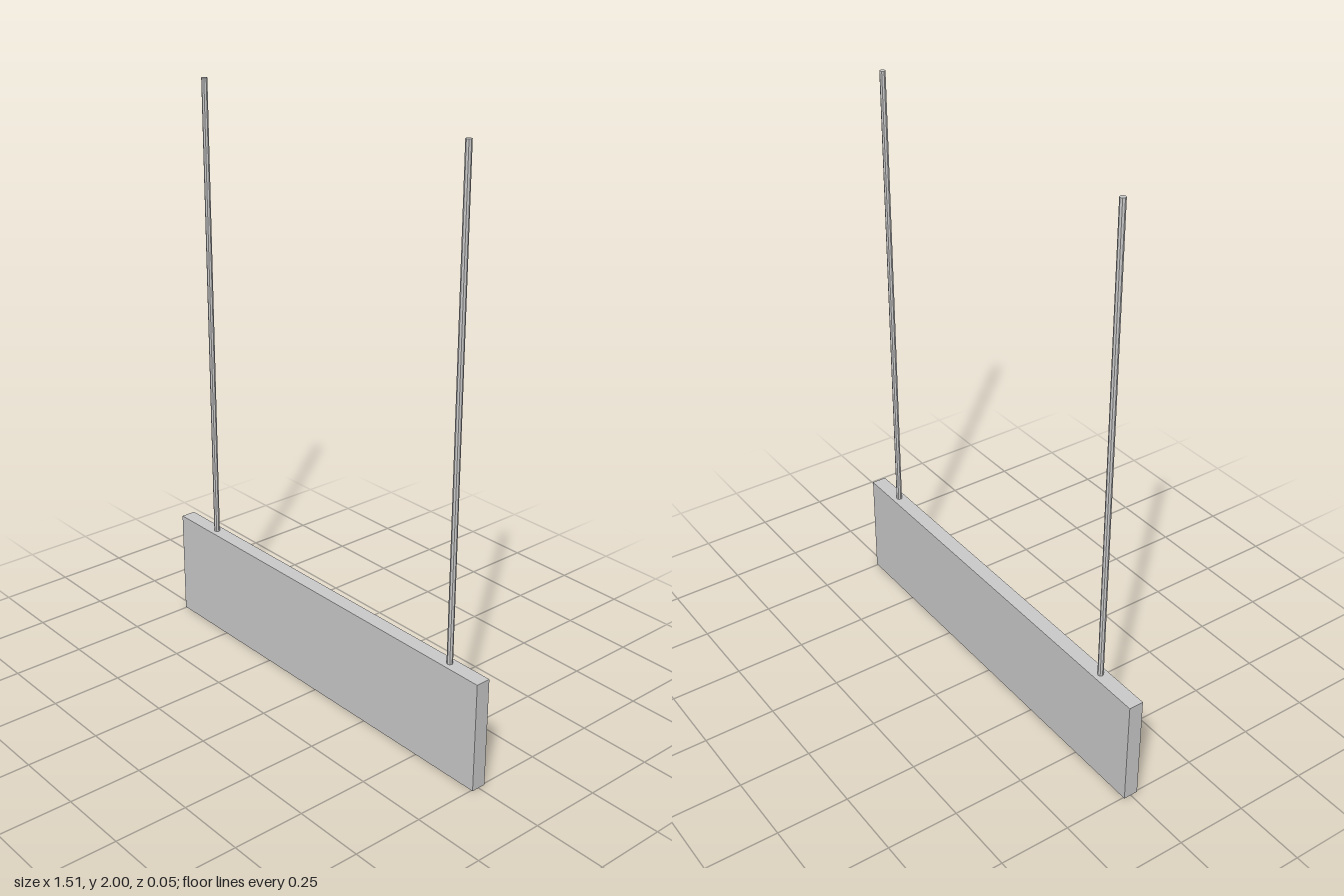
import * as THREE from 'three';

const HEIGHT = 2;
const PANEL = { width: 1.51, height: 0.38, depth: 0.052 };
const ROD_RADIUS = 0.01;

export function createModel() {
  const group = new THREE.Group();
  group.name = 'hangingSign';
  const material = new THREE.MeshStandardMaterial({ color: 0xcccccc, flatShading: true });

  // Flat rectangular sign board
  const panel = new THREE.Mesh(
    new THREE.BoxGeometry(PANEL.width, PANEL.height, PANEL.depth),
    material
  );
  panel.name = 'signPanel';
  panel.position.y = PANEL.height / 2;
  group.add(panel);

  // Two thin suspension rods, set slightly off-centre along the top edge
  const rodLength = HEIGHT - PANEL.height;
  const rodGeometry = new THREE.CylinderGeometry(ROD_RADIUS, ROD_RADIUS, rodLength, 8);
  for (const [name, x] of [['rightRod', -0.578], ['leftRod', 0.612]]) {
    const rod = new THREE.Mesh(rodGeometry, material);
    rod.name = name;
    rod.position.set(x, PANEL.height + rodLength / 2, 0);
    group.add(rod);
  }

  return group;
}
